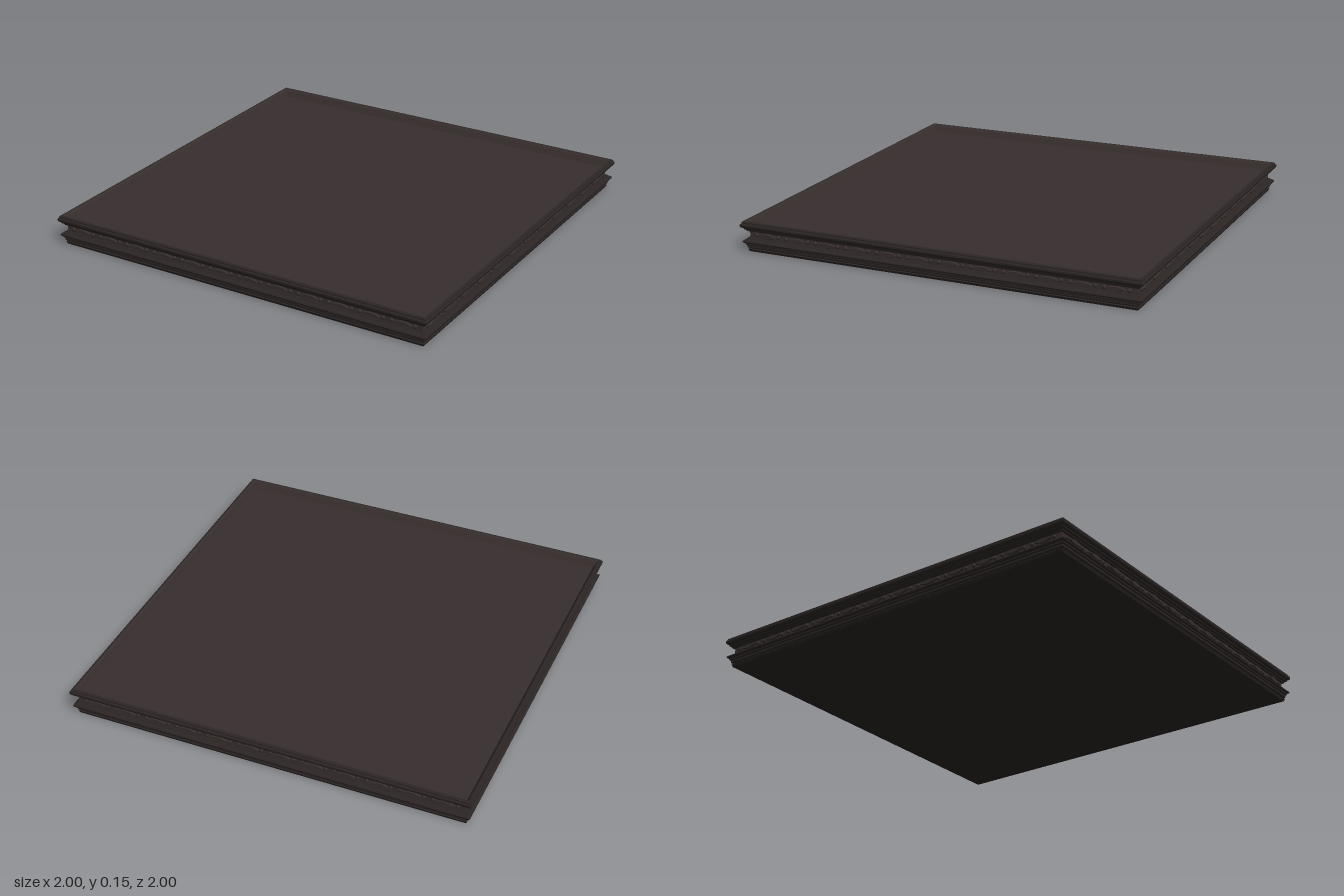
import * as THREE from 'three';

const darkBronze = new THREE.MeshStandardMaterial({ color: 0x2b2524 });
darkBronze.name = 'dark bronze';
const warmBronze = new THREE.MeshStandardMaterial({ color: 0x372f2e });
warmBronze.name = 'warm bronze';

// Sweeps a [half-width, height] profile around a square with crisp corners.
function squareSweep(profile, material, name) {
  const points = profile.map(([r, y]) => new THREE.Vector2(r * Math.SQRT2, y));
  const geometry = new THREE.LatheGeometry(points, 4, Math.PI / 4).toNonIndexed();
  geometry.computeVertexNormals();
  const mesh = new THREE.Mesh(geometry, material);
  mesh.name = name;
  return mesh;
}

// Leaf-shaped relief with a bevelled edge.
function leafGeometry(length, height) {
  const shape = new THREE.Shape();
  shape.moveTo(-length / 2, 0);
  shape.quadraticCurveTo(0, height, length / 2, 0);
  shape.quadraticCurveTo(0, -height, -length / 2, 0);
  return new THREE.ExtrudeGeometry(shape, {
    depth: 0.004, bevelEnabled: true, bevelThickness: 0.004,
    bevelSize: 0.002, bevelSegments: 1, curveSegments: 6,
  });
}

export function createModel() {
  const model = new THREE.Group();
  model.name = 'squarePlinth';

  // Stepped base moulding
  model.add(squareSweep([
    [0.97, 0], [0.975, 0.012], [0.971, 0.016], [0.978, 0.022], [0.978, 0.032],
    [0.984, 0.036], [0.984, 0.042], [0.992, 0.046], [0.994, 0.052],
    [0.988, 0.058], [0.978, 0.062], [0.974, 0.068], [0.965, 0.069],
  ], darkBronze, 'baseMoulding'));

  // Recessed frieze band
  model.add(squareSweep([[0.966, 0.066], [0.966, 0.104]], warmBronze, 'frieze'));

  // Overhanging top moulding
  model.add(squareSweep([
    [0.965, 0.099], [0.976, 0.1], [0.978, 0.106], [0.986, 0.11], [0.988, 0.116],
    [0.996, 0.12], [1, 0.127], [1, 0.136], [0.994, 0.14], [0.994, 0.146], [0.989, 0.15],
    [0.982, 0.15],
  ], darkBronze, 'topMoulding'));

  // Sloping inner lip around the sunken top
  model.add(squareSweep([
    [0.982, 0.15], [0.974, 0.14], [0.962, 0.114], [0.96, 0.11],
  ], warmBronze, 'innerLip'));

  // Sunken top panel and underside
  const plate = new THREE.PlaneGeometry(1.92, 1.92);
  const top = new THREE.Mesh(plate, warmBronze);
  top.name = 'topPanel';
  top.rotation.x = -Math.PI / 2;
  top.position.y = 0.11;
  const underside = new THREE.Mesh(new THREE.PlaneGeometry(1.94, 1.94), darkBronze);
  underside.name = 'underside';
  underside.rotation.x = Math.PI / 2;
  model.add(top, underside);

  // Leaf and bead reliefs repeated along each side
  const leaf = leafGeometry(0.085, 0.02);
  const bead = new THREE.SphereGeometry(0.01, 10, 6);
  const count = 12;
  const pitch = 1.9 / count;
  for (let side = 0; side < 4; side++) {
    const ornament = new THREE.Group();
    ornament.name = 'friezeOrnament';
    ornament.rotation.y = side * Math.PI / 2;
    for (let i = 0; i < count; i++) {
      const x = (i - (count - 1) / 2) * pitch;
      const leafMesh = new THREE.Mesh(leaf, warmBronze);
      leafMesh.name = 'leaf';
      leafMesh.position.set(x, 0.084, 0.968);
      ornament.add(leafMesh);
      for (const offset of [-0.058, 0.058]) {
        const beadMesh = new THREE.Mesh(bead, warmBronze);
        beadMesh.name = 'bead';
        beadMesh.position.set(x + offset, 0.084, 0.967);
        ornament.add(beadMesh);
      }
    }
    model.add(ornament);
  }
  return model;
}
